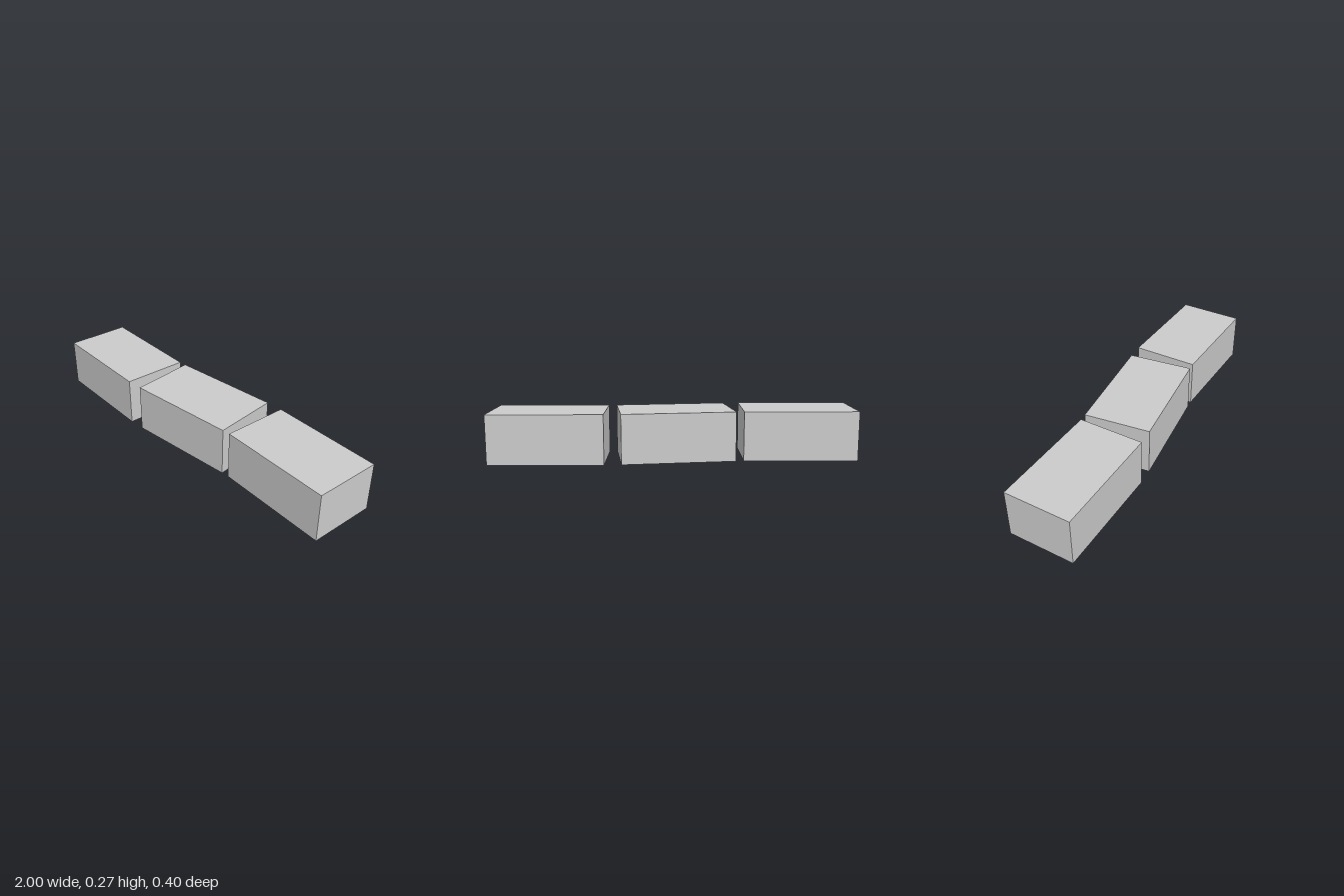
import * as THREE from 'three';

// Row of three plain blocks, each turned slightly about the vertical axis
export function createModel() {
  const group = new THREE.Group();
  group.name = 'blockRow';

  const grey = new THREE.MeshStandardMaterial({ color: 0xcccccc });
  grey.name = 'light grey';

  const length = 0.615, height = 0.268, depth = 0.36;
  const geometry = new THREE.BoxGeometry(length, height, depth);

  const blocks = [
    { name: 'rightBlock', x: -0.68, turn: -0.07 },
    { name: 'middleBlock', x: 0, turn: 0.065 },
    { name: 'leftBlock', x: 0.68, turn: -0.07 },
  ];

  for (const { name, x, turn } of blocks) {
    const block = new THREE.Mesh(geometry, grey);
    block.name = name;
    block.position.set(x, height / 2, 0);
    block.rotation.y = turn;
    group.add(block);
  }
  return group;
}
